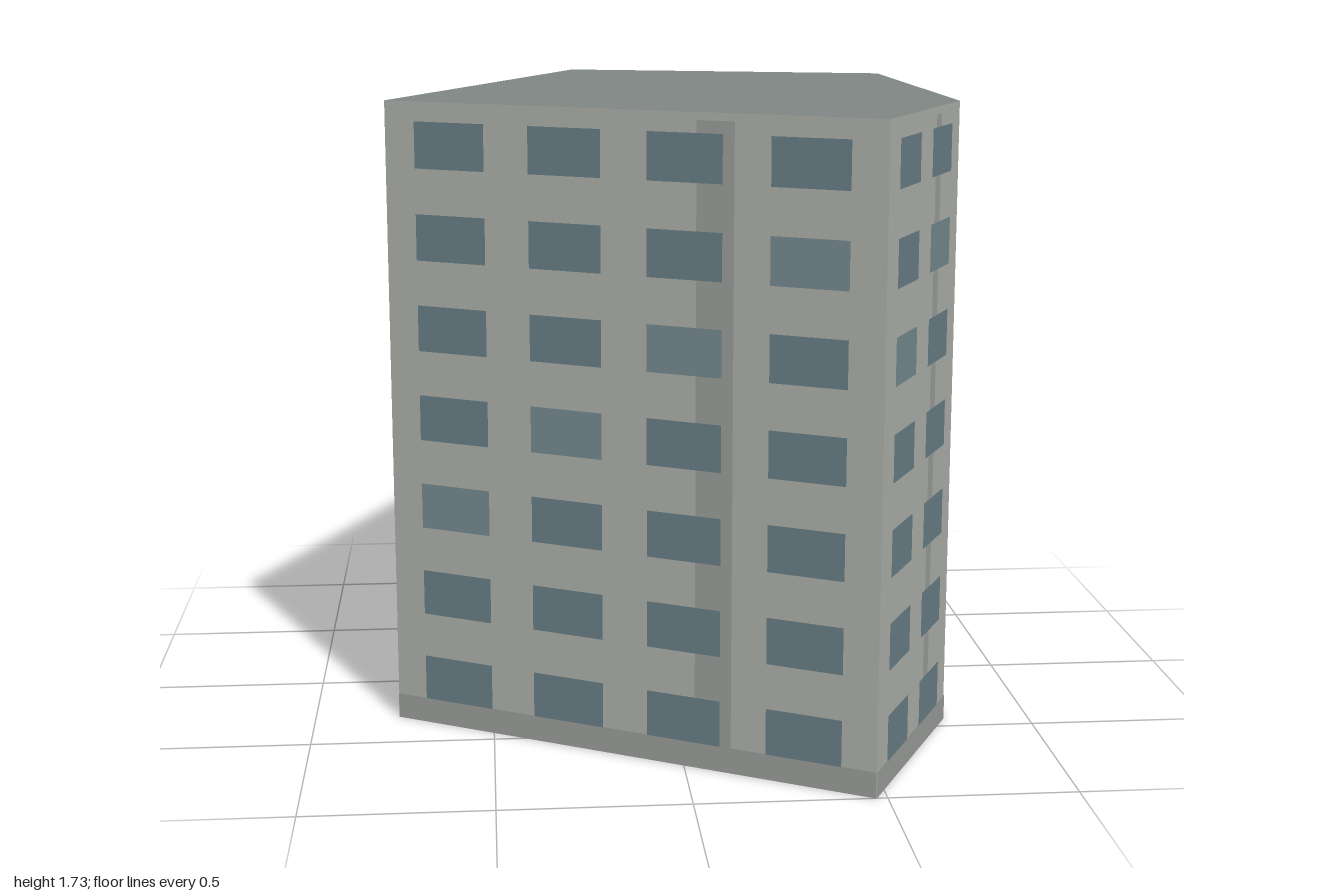
import * as THREE from 'three';

const HEIGHT = 1.73, FLOORS = 7, PLINTH = 0.07;

// Footprint corners [x, z], in order as seen walking round with the wall on the left
const corners = [[-0.765, 0.3], [0.47, 1], [0.76, 0.44], [0.747, -0.72], [-0.21, -1]];

// Window layout by column count, as fractions of the wall's length
const layouts = {
  2: { start: 0.125, width: 0.285, pitch: 0.457 },
  3: { start: 0.08, width: 0.205, pitch: 0.317 },
  4: { start: 0.065, width: 0.148, pitch: 0.24 },
};

// Columns of windows on each wall, and the floor where its diagonal of pale panes begins
const facades = [
  { columns: 4, pale: 2 },
  { columns: 2, pale: 4 },
  { columns: 4, pale: 2 },
  { columns: 3, pale: 3 },
  { columns: 4, pale: 2 },
];

const paint = (color, side = THREE.FrontSide) => new THREE.MeshStandardMaterial({ color, side });

export function createModel() {
  const building = new THREE.Group();
  building.name = 'apartmentBlock';

  const wallMat = paint(0xa9aca6, THREE.DoubleSide);
  const roofMat = paint(0x7f8683, THREE.DoubleSide);
  const trimMat = paint(0x969a96);
  const glassMat = paint(0x667c84);
  const paleGlassMat = paint(0x72878e);

  // Flat panel from (x0, y0) to (x1, y1) on a wall, raised by z
  const panel = (parent, name, mat, x0, x1, y0, y1, z) => {
    const mesh = new THREE.Mesh(new THREE.PlaneGeometry(x1 - x0, y1 - y0), mat);
    mesh.position.set((x0 + x1) / 2, (y0 + y1) / 2, z);
    mesh.name = name;
    parent.add(mesh);
  };

  facades.forEach(({ columns, pale }, i) => {
    const [ax, az] = corners[i];
    const [bx, bz] = corners[(i + 1) % corners.length];
    const length = Math.hypot(bx - ax, bz - az);

    // Local x runs along the wall, local z points outwards
    const facade = new THREE.Group();
    facade.name = `facade${i + 1}`;
    facade.position.set(ax, 0, az);
    facade.rotation.y = Math.atan2(az - bz, bx - ax);
    building.add(facade);

    panel(facade, 'wall', wallMat, 0, length, 0, HEIGHT, 0);
    panel(facade, 'plinth', trimMat, 0, length, 0, PLINTH, 0.002);
    panel(facade, 'verticalStrip', trimMat, 0.642 * length, 0.715 * length, PLINTH, 1.71, 0.002);

    // Rows of windows, in front of the strip
    const { start, width, pitch } = layouts[columns];
    for (let row = 0; row < FLOORS; row++) {
      const y = PLINTH + row * HEIGHT / FLOORS;
      for (let col = 0; col < columns; col++) {
        const x = (start + col * pitch) * length;
        const mat = row - col === pale ? paleGlassMat : glassMat;
        panel(facade, 'window', mat, x, x + width * length, y, y + 0.125, 0.004);
      }
    }
  });

  // Flat roof; the underside of the block is open
  const outline = new THREE.Shape(corners.map(([x, z]) => new THREE.Vector2(x, -z)));
  const roof = new THREE.Mesh(new THREE.ShapeGeometry(outline).rotateX(-Math.PI / 2), roofMat);
  roof.position.y = HEIGHT;
  roof.name = 'roof';
  building.add(roof);

  return building;
}
